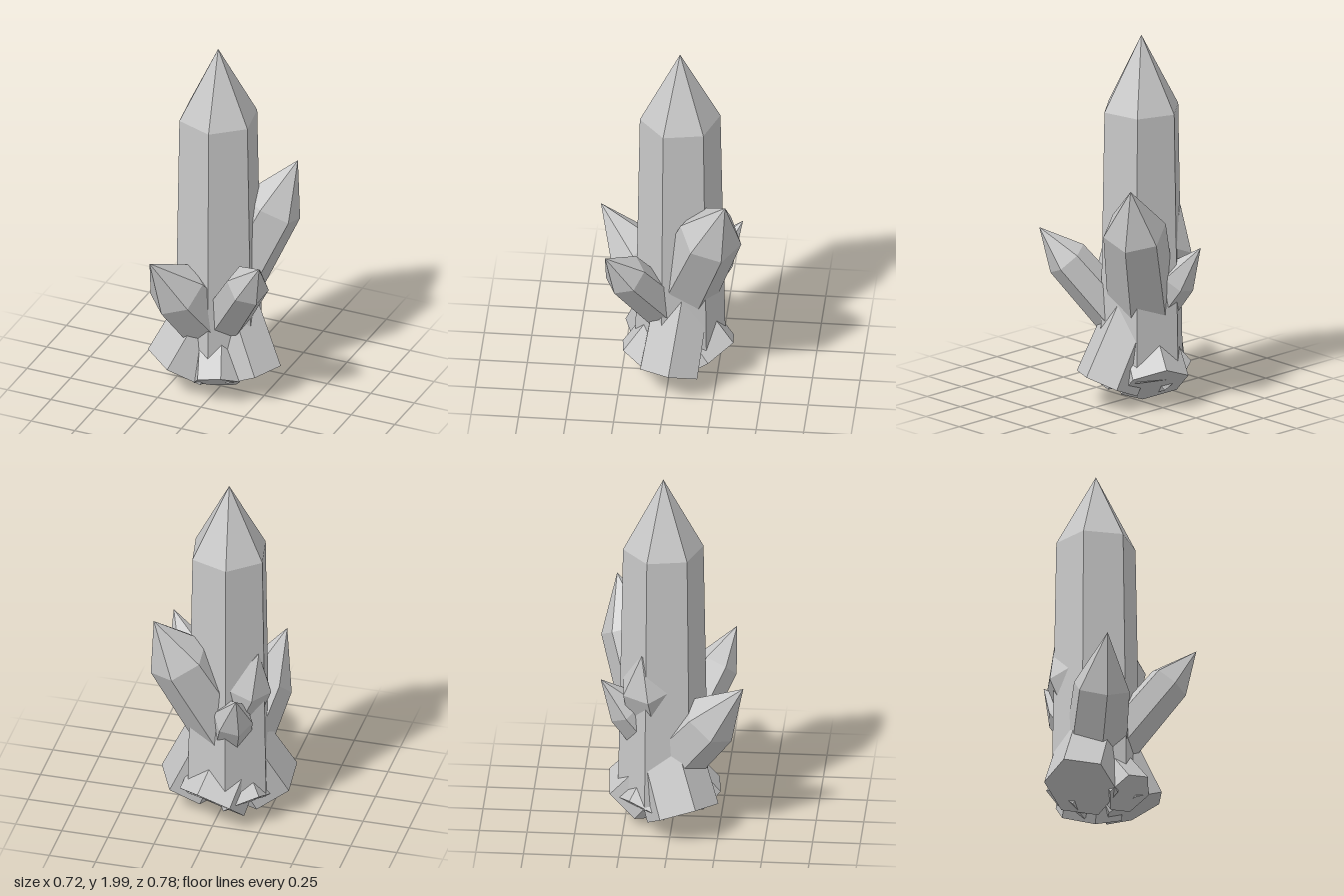
import * as THREE from 'three';

const SIDES = 6;

// Closed hexagonal crystal: flat base, tapering shaft, pointed tip.
// ref is a direction in which one corner of the hexagon points.
function crystal(name, material, { base, tip, tipLength, baseRadius, radius, ref }) {
  const b = new THREE.Vector3(...base);
  const t = new THREE.Vector3(...tip);
  const axis = t.clone().sub(b).normalize();
  const u = new THREE.Vector3(...ref).projectOnPlane(axis).normalize();
  const v = axis.clone().cross(u);
  const shoulder = t.clone().addScaledVector(axis, -tipLength);

  const corner = (center, r, i) => {
    const a = (i / SIDES) * Math.PI * 2;
    return center.clone()
      .addScaledVector(u, Math.cos(a) * r)
      .addScaledVector(v, Math.sin(a) * r);
  };

  const points = [];
  for (let i = 0; i < SIDES; i++) {
    const b0 = corner(b, baseRadius, i), b1 = corner(b, baseRadius, i + 1);
    const s0 = corner(shoulder, radius, i), s1 = corner(shoulder, radius, i + 1);
    points.push(b0, b1, s1, b0, s1, s0); // shaft
    points.push(s0, s1, t); // point
    points.push(b, b1, b0); // base cap
  }
  const geometry = new THREE.BufferGeometry().setFromPoints(points);
  geometry.computeVertexNormals();
  const mesh = new THREE.Mesh(geometry, material);
  mesh.name = name;
  return mesh;
}

export function createModel() {
  const group = new THREE.Group();
  group.name = 'crystalCluster';

  const stone = new THREE.MeshStandardMaterial({ color: 0xc8c8c8, flatShading: true });
  stone.name = 'greyCrystal';

  const crystals = {
    // Tall upright centre
    mainCrystal: {
      base: [-0.035, 0.16, -0.052], tip: [-0.037, 2, -0.05],
      tipLength: 0.4, baseRadius: 0.238, radius: 0.212, ref: [0.04, 0, 0.22],
    },
    // Shards leaning through the centre; their bases stick out on the opposite side
    backLeftCrystal: {
      base: [-0.2, 0.125, 0.065], tip: [0.3, 1.27, -0.318],
      tipLength: 0.29, baseRadius: 0.196, radius: 0.168, ref: [0, -0.04, -0.16],
    },
    frontRightCrystal: {
      base: [0.015, 0.125, -0.205], tip: [-0.235, 0.885, 0.385],
      tipLength: 0.3, baseRadius: 0.184, radius: 0.155, ref: [-0.13, -0.05, 0.01],
    },
    frontLeftCrystal: {
      base: [-0.16, 0.12, -0.155], tip: [0.36, 0.95, 0.308],
      tipLength: 0.225, baseRadius: 0.132, radius: 0.114, ref: [0.1, 0, -0.03],
    },
    backRightCrystal: {
      base: [0.045, 0.115, 0.15], tip: [-0.16, 0.875, -0.37],
      tipLength: 0.23, baseRadius: 0.13, radius: 0.105, ref: [-0.07, 0.06, 0.1],
    },
    rightCrystal: {
      base: [0.175, 0.125, -0.012], tip: [-0.225, 1.05, -0.15],
      tipLength: 0.21, baseRadius: 0.175, radius: 0.152, ref: [1, 0, 0],
    },
  };

  for (const [name, shape] of Object.entries(crystals)) {
    group.add(crystal(name, stone, shape));
  }
  return group;
}
